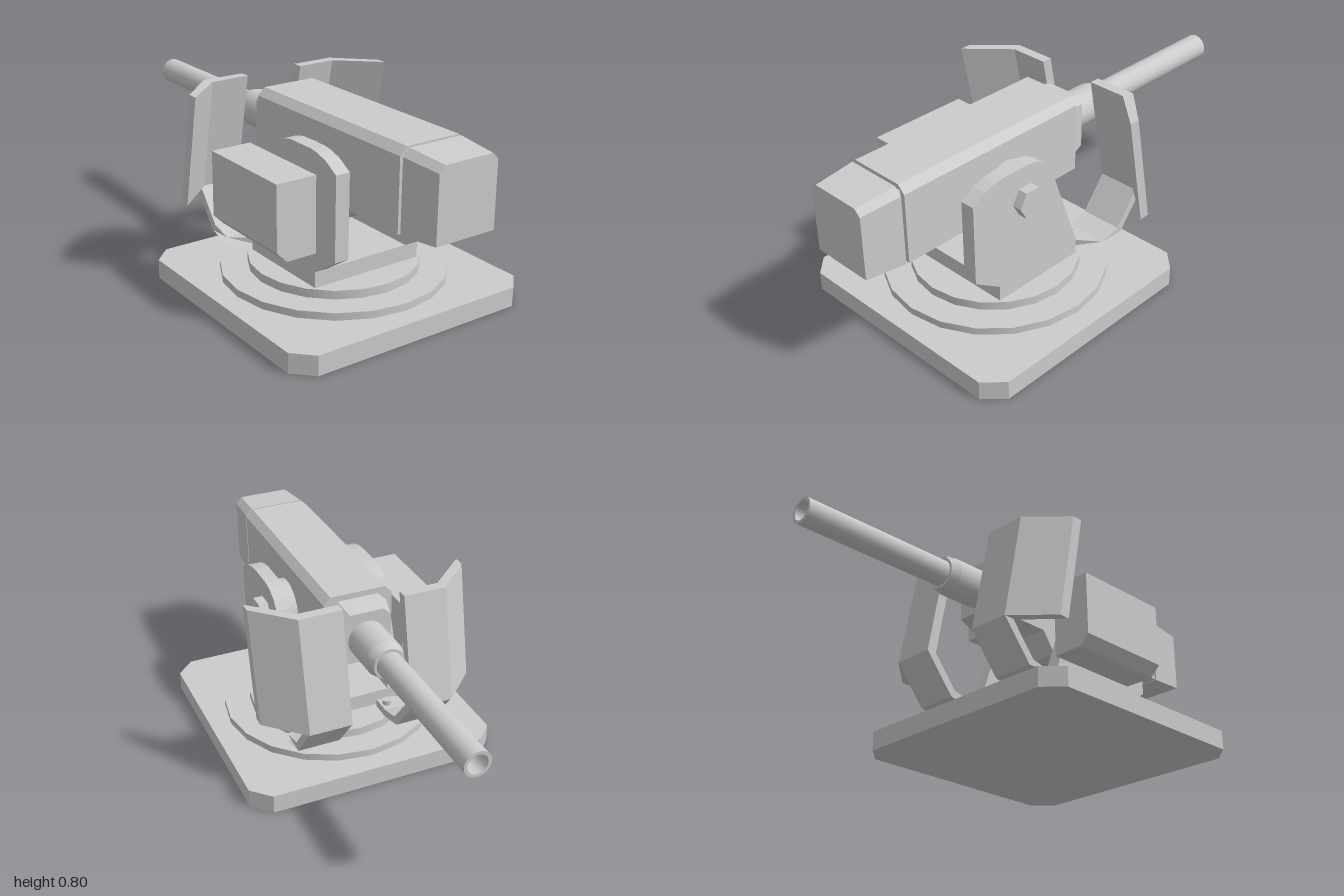
import * as THREE from 'three';

const grey = new THREE.MeshStandardMaterial({ color: 0xcccccc, side: THREE.DoubleSide });

function add(parent, name, geometry, x = 0, y = 0, z = 0) {
  const mesh = new THREE.Mesh(geometry, grey);
  mesh.name = name;
  mesh.position.set(x, y, z);
  parent.add(mesh);
  return mesh;
}

function extrude(points, depth) {
  const shape = new THREE.Shape(points.map(([a, b]) => new THREE.Vector2(a, b)));
  return new THREE.ExtrudeGeometry(shape, { depth, bevelEnabled: false });
}

// Profile [z, y] extruded from x0 to x1
const extrudeX = (pts, x0, x1) => extrude(pts, x1 - x0).rotateY(-Math.PI / 2).translate(x1, 0, 0);
// Outline [x, z] extruded from y0 to y1
const extrudeY = (pts, y0, y1) =>
  extrude(pts.map(([x, z]) => [x, -z]), y1 - y0).rotateX(-Math.PI / 2).translate(0, y0, 0);
// Profile [x, y] extruded from z0 to z1
const extrudeZ = (pts, z0, z1) => extrude(pts, z1 - z0).translate(0, 0, z0);

// Move every vertex by a rule, then restore flat normals
function warp(geometry, rule) {
  const p = geometry.attributes.position;
  const v = new THREE.Vector3();
  for (let i = 0; i < p.count; i++) {
    rule(v.fromBufferAttribute(p, i));
    p.setXYZ(i, v.x, v.y, v.z);
  }
  geometry.computeVertexNormals();
  return geometry;
}

// Box section with chamfered top corners
const housing = (w, y0, y1, c) =>
  [[-w, y0], [w, y0], [w, y1 - c], [w - c, y1], [c - w, y1], [-w, y1 - c]];

function addBase(model) {
  const w = 0.535, c = 0.075, z0 = -0.27, z1 = 0.8, mid = 0.265;
  add(model, 'basePlate', extrudeY([
    [-w, z0 + c], [c - w, z0], [w - c, z0], [w, z0 + c],
    [w, z1 - c], [w - c, z1], [c - w, z1], [-w, z1 - c]], 0, 0.08));
  add(model, 'lowerRing', new THREE.CylinderGeometry(0.45, 0.45, 0.03, 20), 0, 0.095, mid);
  add(model, 'turntable', new THREE.CylinderGeometry(0.34, 0.34, 0.035, 20), 0, 0.1275, mid);
}

function addYoke(model) {
  add(model, 'yokeFloor', new THREE.BoxGeometry(0.49, 0.065, 0.425), 0, 0.1775, 0.2675);
  const cheek = [
    [0.055, 0.145], [0.48, 0.145], [0.48, 0.21], [0.6, 0.29], [0.6, 0.625],
    [0.54, 0.66], [0.49, 0.676], [0.45, 0.682], [0.32, 0.682], [0.275, 0.672],
    [0.235, 0.648], [0.205, 0.61], [0.185, 0.565], [0.055, 0.21]];
  for (const s of [-1, 1]) {
    add(model, 'yokeCheek', extrudeX(cheek, s * 0.215 - 0.03, s * 0.215 + 0.03));
    const disc = new THREE.CylinderGeometry(0.118, 0.118, 0.05, 28).rotateZ(Math.PI / 2);
    add(model, 'trunnionDisc', disc, s * 0.162, 0.543, 0.34);
  }
  const hex = [...Array(6).keys()].map((i) => [
    0.34 + 0.064 * Math.cos(i * Math.PI / 3), 0.54 + 0.064 * Math.sin(i * Math.PI / 3)]);
  add(model, 'pivotBolt', extrudeX(hex, 0.24, 0.285));
  // Box hung on the right cheek, outer lower edge chamfered
  add(model, 'sideBox', extrudeZ(
    [[-0.25, 0.29], [-0.25, 0.595], [-0.42, 0.595], [-0.42, 0.333], [-0.377, 0.29]], 0.055, 0.49));
}

function addGun(model) {
  add(model, 'receiver', extrudeZ(housing(0.145, 0.455, 0.77, 0.03), -0.045, 0.82));
  add(model, 'neck', new THREE.BoxGeometry(0.25, 0.28, 0.03), 0, 0.61, 0.825);
  // End cap narrows toward its outer face
  add(model, 'endCap', warp(extrudeZ(housing(0.143, 0.456, 0.768, 0.028), 0.832, 1), (v) => {
    if (v.z > 0.9) {
      v.x *= 0.91;
      v.y = 0.612 + (v.y - 0.612) * 0.91;
    }
  }));
  add(model, 'nose', warp(extrudeZ(housing(0.12, 0.49, 0.745, 0.035), -0.13, -0.045), (v) => {
    if (v.z < -0.1) {
      v.x *= 0.83;
      v.y = 0.607 + (v.y - 0.607) * 0.85;
    }
  }));
  add(model, 'receiverKeel', extrudeX(
    [[0.1, 0.455], [0.16, 0.37], [0.44, 0.37], [0.53, 0.455]], -0.145, 0.145));
  // Sleeve and hollow barrel, turned along -z
  const lathe = (pts, n) => new THREE.LatheGeometry(
    pts.map(([r, l]) => new THREE.Vector2(r, l)), n).rotateX(-Math.PI / 2);
  add(model, 'sleeveBody', new THREE.CylinderGeometry(0.078, 0.078, 0.17, 24)
    .rotateX(Math.PI / 2), 0, 0.607, -0.205);
  add(model, 'sleeveTaper', new THREE.CylinderGeometry(0.078, 0.064, 0.042, 24)
    .rotateX(Math.PI / 2), 0, 0.607, -0.311);
  const tube = (r) => lathe([[r, 0.3], [r, 1]], 24);
  add(model, 'barrel', tube(0.053), 0, 0.607, 0);
  add(model, 'bore', tube(0.04), 0, 0.607, 0);
  add(model, 'muzzleRim', new THREE.RingGeometry(0.04, 0.053, 24).rotateY(Math.PI), 0, 0.607, -1);
}

function addShield(model, name, side) {
  const shield = new THREE.Group();
  shield.name = name;
  shield.scale.x = side;
  model.add(shield);
  // Folded plate, leaning back toward its foot
  const y0 = 0.332, y1 = 0.795;
  add(shield, 'shieldPlate', warp(extrudeY([
    [0.127, -0.19], [0.305, -0.19], [0.452, -0.045], [0.452, 0],
    [0.29, -0.147], [0.127, -0.147]], y0, y1), (v) => {
    v.z -= 0.09 * (y1 - v.y) / (y1 - y0);
  }));
  // Bent bracket tapering to a bolted tab
  add(shield, 'shieldBracket', warp(extrudeX([
    [-0.28, 0.335], [-0.15, 0.172], [-0.04, 0.145], [0.04, 0.145],
    [0.04, 0.178], [-0.04, 0.178], [-0.13, 0.2], [-0.237, 0.335]], 0.127, 0.305), (v) => {
    if (v.z > 0 && v.x > 0.2) v.x = 0.2;
  }));
  add(shield, 'bracketBolt', new THREE.CylinderGeometry(0.02, 0.02, 0.025, 8), 0.156, 0.185, 0);
}

export function createModel() {
  const model = new THREE.Group();
  model.name = 'gunTurret';
  addBase(model);
  addYoke(model);
  addGun(model);
  addShield(model, 'leftShield', 1);
  addShield(model, 'rightShield', -1);
  return model;
}
